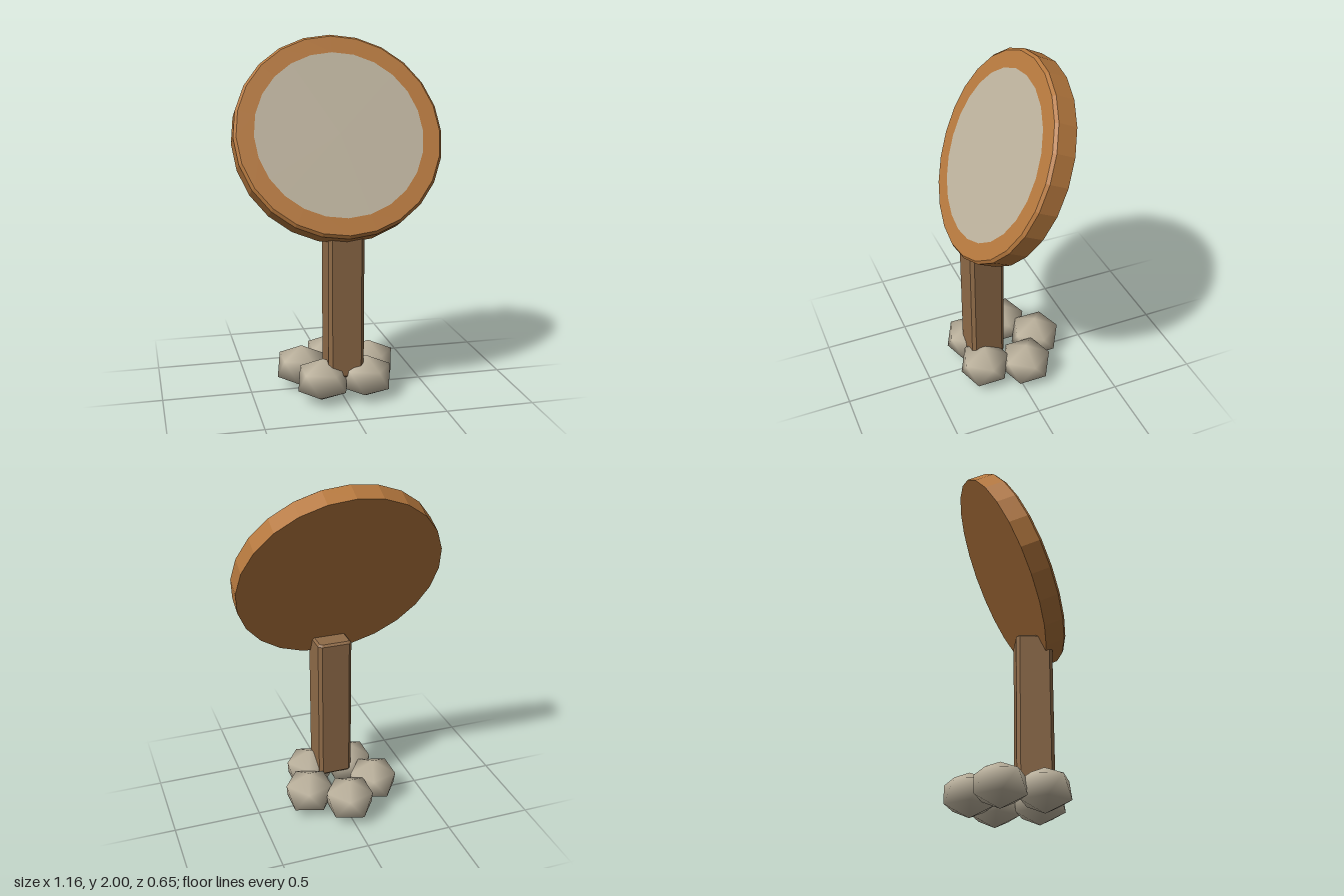
import * as THREE from 'three';

const material = (name, color) => {
  const m = new THREE.MeshStandardMaterial({ color });
  m.name = name;
  return m;
};

// Split shared vertices so every facet gets its own normal
function faceted(geometry) {
  const g = geometry.toNonIndexed();
  g.computeVertexNormals();
  return g;
}

// Square post with every edge chamfered, standing from y = 0
function chamferedPost(half, height, c) {
  const a = half - c, b = a - c;
  const outline = [[a, -b], [a, b], [b, a], [-b, a], [-a, b], [-a, -b], [-b, -a], [b, -a]];
  const shape = new THREE.Shape(outline.map(([x, y]) => new THREE.Vector2(x, y)));
  const g = new THREE.ExtrudeGeometry(shape, {
    depth: height - 2 * c, bevelEnabled: true, bevelSize: c, bevelThickness: c, bevelSegments: 1,
  });
  g.translate(0, 0, c);
  g.rotateX(-Math.PI / 2);
  return g;
}

// Smooth twenty-sided pebble: two staggered rings of five between two poles
function pebble(radius, ringY, poleY) {
  const pos = [0, poleY, 0, 0, -poleY, 0], index = [];
  for (let i = 0; i < 5; i++) {
    for (const [y, offset] of [[ringY, 0], [-ringY, 0.5]]) {
      const a = (i + offset) * Math.PI * 0.4;
      pos.push(radius * Math.cos(a), y, radius * Math.sin(a));
    }
    const u = 2 + 2 * i, l = u + 1;
    const u2 = 2 + 2 * ((i + 1) % 5), l2 = u2 + 1;
    index.push(0, u2, u, u, u2, l, l, u2, l2, 1, l, l2);
  }
  const g = new THREE.BufferGeometry();
  g.setAttribute('position', new THREE.Float32BufferAttribute(pos, 3));
  g.setIndex(index);
  g.computeVertexNormals();
  return g;
}

export function createModel() {
  const model = new THREE.Group();
  model.name = 'roundSignPost';
  const frameWood = material('frameWood', 0xb5783e);
  const postWood = material('postWood', 0x8f6b48);
  const stone = material('stone', 0xbcb29d);

  const add = (parent, name, geometry, mat, x = 0, y = 0, z = 0) => {
    const mesh = new THREE.Mesh(geometry, mat);
    mesh.name = name;
    mesh.position.set(x, y, z);
    parent.add(mesh);
    return mesh;
  };

  // Tilted round board: frame with a chamfered front edge, and a flush panel
  const board = new THREE.Group();
  board.name = 'board';
  board.position.set(0, 1.4625, 0.0275);
  board.rotation.x = THREE.MathUtils.degToRad(65);
  model.add(board);
  const profile = [[0, -0.0625], [0.58, -0.0625], [0.58, 0.0475], [0.565, 0.0625], [0.47, 0.0625]]
    .map(([x, y]) => new THREE.Vector2(x, y));
  add(board, 'boardFrame', faceted(new THREE.LatheGeometry(profile, 24)), frameWood);
  const panel = new THREE.CircleGeometry(0.47, 24);
  panel.rotateX(-Math.PI / 2);
  add(board, 'boardPanel', panel, stone, 0, 0.0625, 0);

  // Post
  add(model, 'post', chamferedPost(0.1, 0.87, 0.012), postWood, 0, 0.15, 0.15);

  // Ring of five stones around the foot
  const stoneShape = pebble(0.14, 0.06, 0.121);
  for (let i = 0; i < 5; i++) {
    const a = Math.PI + i * Math.PI * 0.4;
    add(model, 'baseStone' + (i + 1), stoneShape, stone,
      0.21 * Math.sin(a), 0.13, 0.02 + 0.21 * Math.cos(a));
  }

  // Settle the model on the ground and centre it
  const box = new THREE.Box3().setFromObject(model, true);
  const centre = box.getCenter(new THREE.Vector3());
  for (const part of model.children) {
    part.position.x -= centre.x;
    part.position.y -= box.min.y;
    part.position.z -= centre.z;
  }
  return model;
}
